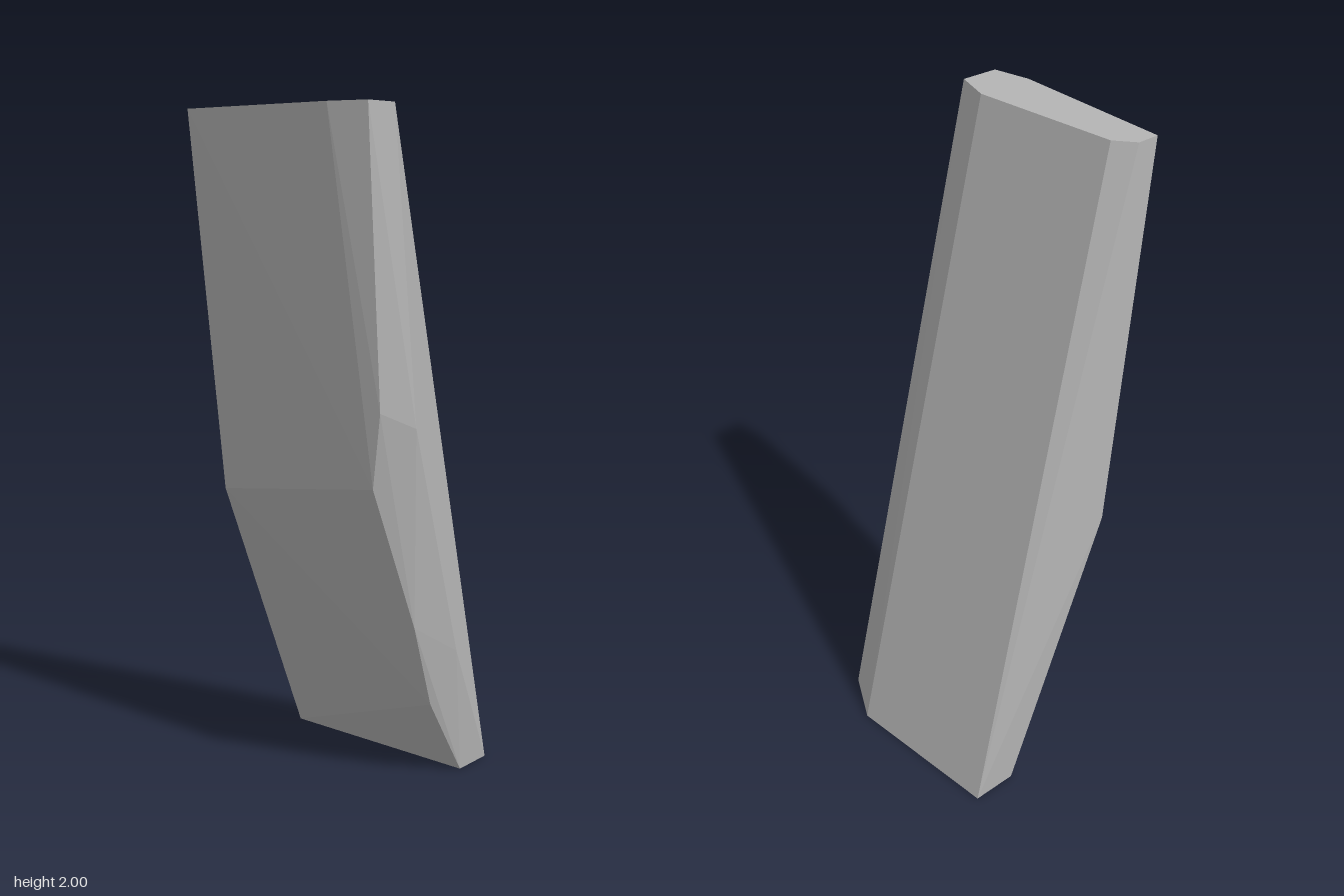
import * as THREE from 'three';
import { ConvexGeometry } from 'three/addons/geometries/ConvexGeometry.js';

// Corner rings of the faceted shard: [x, z] at the flat ends, [x, y, z] between
const topRing = [[-0.30, -0.37], [-0.225, -0.372], [-0.18, -0.31], [-0.175, 0.195],
  [-0.225, 0.323], [-0.35, 0.323], [-0.365, 0.195]];
const bottomRing = [[0.355, -0.362], [0.363, 0.17], [0.27, 0.332], [0.125, 0.333], [0.21, -0.36]];
const bulge = [
  [-0.135, 0.84, -0.383],                                          // back ridge
  [-0.195, 1.10, 0.38], [0.045, 0.40, 0.367],                      // front ridge
  [-0.30, 1.15, 0.33], [-0.285, 0.93, 0.295], [-0.125, 0.50, 0.33], [-0.02, 0.24, 0.318], // worn right edge
];

export function createModel() {
  const group = new THREE.Group();
  group.name = 'stoneShard';
  const stone = new THREE.MeshStandardMaterial({ color: 0xb4b4b4 });
  stone.name = 'grey stone';
  stone.flatShading = true;

  const points = [
    ...topRing.map(([x, z]) => new THREE.Vector3(x, 2, z)),
    ...bottomRing.map(([x, z]) => new THREE.Vector3(x, 0, z)),
    ...bulge.map((p) => new THREE.Vector3(...p)),
  ];
  const shard = new THREE.Mesh(new ConvexGeometry(points), stone);
  shard.name = 'shard';
  group.add(shard);
  return group;
}
